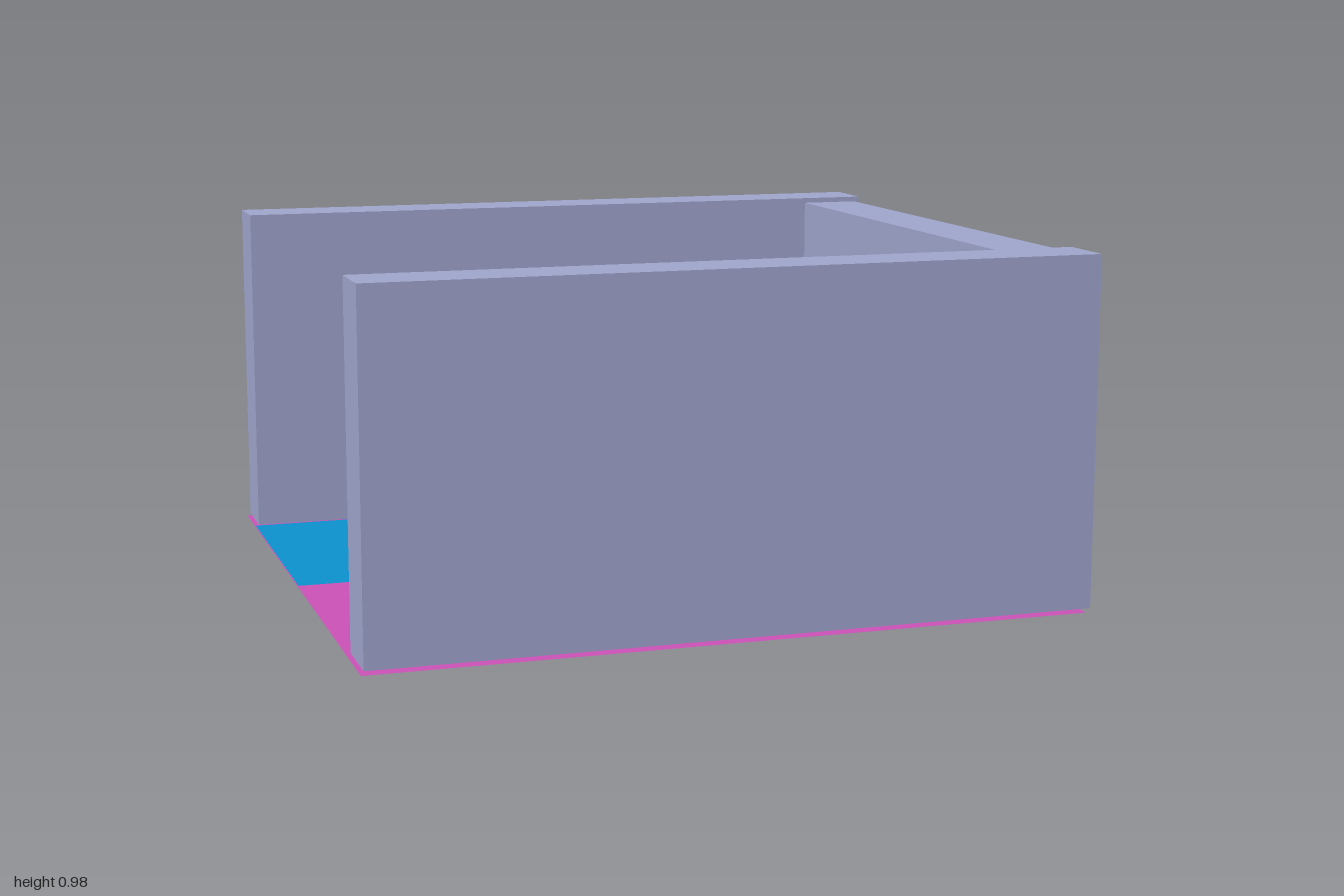
import * as THREE from 'three';

const material = (name, color, side = THREE.FrontSide) => {
  const m = new THREE.MeshStandardMaterial({ color, side });
  m.name = name;
  return m;
};

export function createModel() {
  const room = new THREE.Group();
  room.name = 'room';

  const wallGrey = material('wall grey', 0xa0a5cd);
  const floorPink = material('floor pink', 0xcb52b8, THREE.DoubleSide);
  const rugBlue = material('rug blue', 0x0c92cd, THREE.DoubleSide);
  const tableGreen = material('table green', 0x75ccb5);
  const ringPurple = material('ring purple', 0x9a4bd8);

  const add = (name, geometry, mat, x, y, z, parent = room) => {
    const mesh = new THREE.Mesh(geometry, mat);
    mesh.name = name;
    mesh.position.set(x, y, z);
    parent.add(mesh);
    return mesh;
  };

  // Thin sheets: floor and rug, given by their edges
  const sheet = (name, mat, x0, x1, z0, z1, y) =>
    add(name, new THREE.PlaneGeometry(x1 - x0, z1 - z0).rotateX(-Math.PI / 2),
      mat, (x0 + x1) / 2, y, (z0 + z1) / 2);
  sheet('floor', floorPink, -1, 0.975, -0.925, 0.92, 0.013);
  sheet('rug', rugBlue, -1, 0.035, -0.755, 0.02, 0.018);

  // Long walls at front and back, and a slightly skewed side wall set lower
  add('frontWall', new THREE.BoxGeometry(1.985, 0.96, 0.17), wallGrey, 0.0025, 0.5, 0.82);
  add('backWall', new THREE.BoxGeometry(1.985, 0.96, 0.17), wallGrey, 0.0025, 0.5, -0.84);
  const sideWall = add('sideWall', new THREE.BoxGeometry(0.172, 0.965, 1.57), wallGrey, 0.902, 0.4825, -0.035);
  sideWall.rotation.y = 0.0125;

  // Oval table on a tapered leg
  const table = new THREE.Group();
  table.name = 'table';
  room.add(table);
  const top = add('tableTop', new THREE.CylinderGeometry(1, 1, 0.03, 64), tableGreen, -0.555, 0.245, 0.44, table);
  top.scale.set(0.215, 1, 0.298);
  add('tableLeg', new THREE.CylinderGeometry(0.025, 0.085, 0.225, 48), wallGrey, -0.595, 0.1195, 0.44, table);

  // Oval ring with a faceted tube, lying on the rug
  const ringGeometry = new THREE.TorusGeometry(0.115, 0.025, 8, 48).rotateX(Math.PI / 2).toNonIndexed();
  ringGeometry.computeVertexNormals();
  const ring = add('floorRing', ringGeometry, ringPurple, -0.612, 0.064, -0.355);
  ring.scale.set(1, 2, 1.29);

  return room;
}
